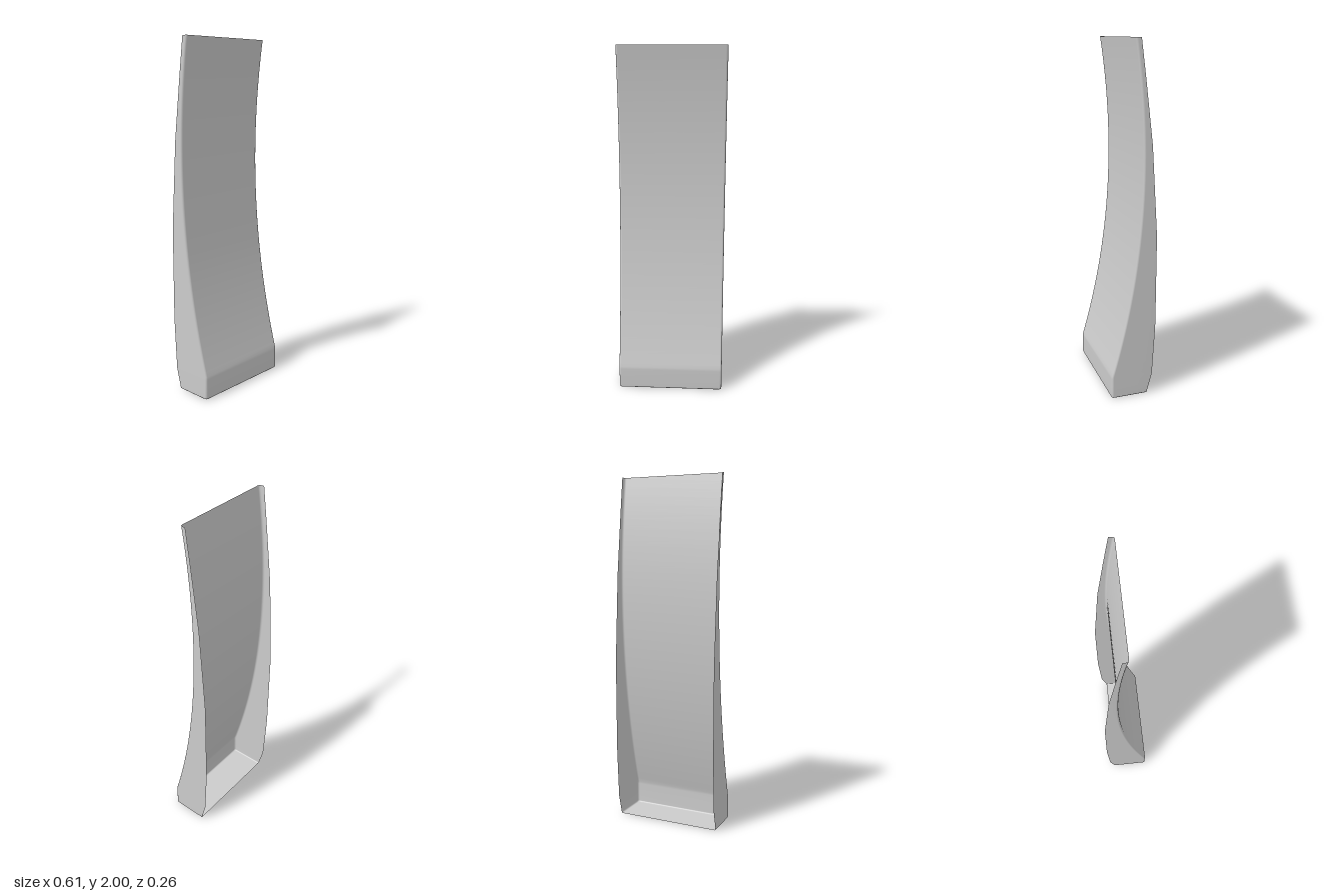
import * as THREE from 'three';

const HALF_W = 0.307, RADIUS = 0.012;

// Straight-line interpolation through [height, depth] pairs
function sample(points, y) {
  for (let i = 1; i < points.length; i++) {
    const [y0, z0] = points[i - 1], [y1, z1] = points[i];
    if (y <= y1) return z0 + (z1 - z0) * (y - y0) / (y1 - y0);
  }
  return points[points.length - 1][1];
}

// Rear edge of the side walls
const REAR = [[0, -0.08], [0.12, -0.112], [0.42, -0.129], [0.95, -0.13],
  [1.45, -0.098], [1.8, -0.056], [2, -0.03]];
const rearZ = y => sample(REAR, y);

// Front face: upright foot, then a shallow concave sweep
const frontZ = y => Math.min(0.13, -0.05 + 0.12 * (y - 1.355) ** 2);

// U-shaped section, open at the back, from -x round the front to +x
function section(y, inset) {
  const w = HALF_W - inset, f = frontZ(y) - inset, steps = 4;
  const half = [[w, rearZ(y)]];
  for (let i = 0; i <= steps; i++) {
    const a = i / steps * Math.PI / 2;
    half.push([w - RADIUS + RADIUS * Math.cos(a), f - RADIUS + RADIUS * Math.sin(a)]);
  }
  const left = half.map(([x, z]) => [-x, y, z]);
  return left.concat(half.reverse().map(([x, z]) => [x, y, z]));
}

function shellGeometry() {
  const rows = [];
  // Rounded lower edge
  for (let i = 0; i <= 3; i++) {
    const a = i / 3 * Math.PI / 2, r = 0.008;
    rows.push(section(r * (1 - Math.cos(a)), r * (1 - Math.sin(a))));
  }
  // Foot and swept body
  for (const y of [0.06, 0.12, 0.135, 0.16]) rows.push(section(y, 0));
  for (let i = 1; i <= 40; i++) rows.push(section(0.16 + 1.84 * i / 40, 0));

  const n = rows[0].length, index = [];
  for (let j = 0; j < rows.length - 1; j++) {
    for (let i = 0; i < n - 1; i++) {
      const a = j * n + i, b = a + 1, c = a + n, d = c + 1;
      index.push(a, b, d, a, d, c);
    }
  }
  // Flat base joining opposite points of the lowest section
  for (let i = 0; i < n / 2 - 1; i++) {
    const l = i, r = n - 1 - i;
    index.push(l, r, l + 1, r, r - 1, l + 1);
  }
  const geo = new THREE.BufferGeometry();
  geo.setAttribute('position', new THREE.Float32BufferAttribute(rows.flat(2), 3));
  geo.setIndex(index);
  geo.computeVertexNormals();
  return geo;
}

export function createModel() {
  const group = new THREE.Group();
  group.name = 'curvedCover';
  const material = new THREE.MeshStandardMaterial({ color: 0xcccccc, side: THREE.DoubleSide });
  const shell = new THREE.Mesh(shellGeometry(), material);
  shell.name = 'coverShell';
  group.add(shell);
  return group;
}
